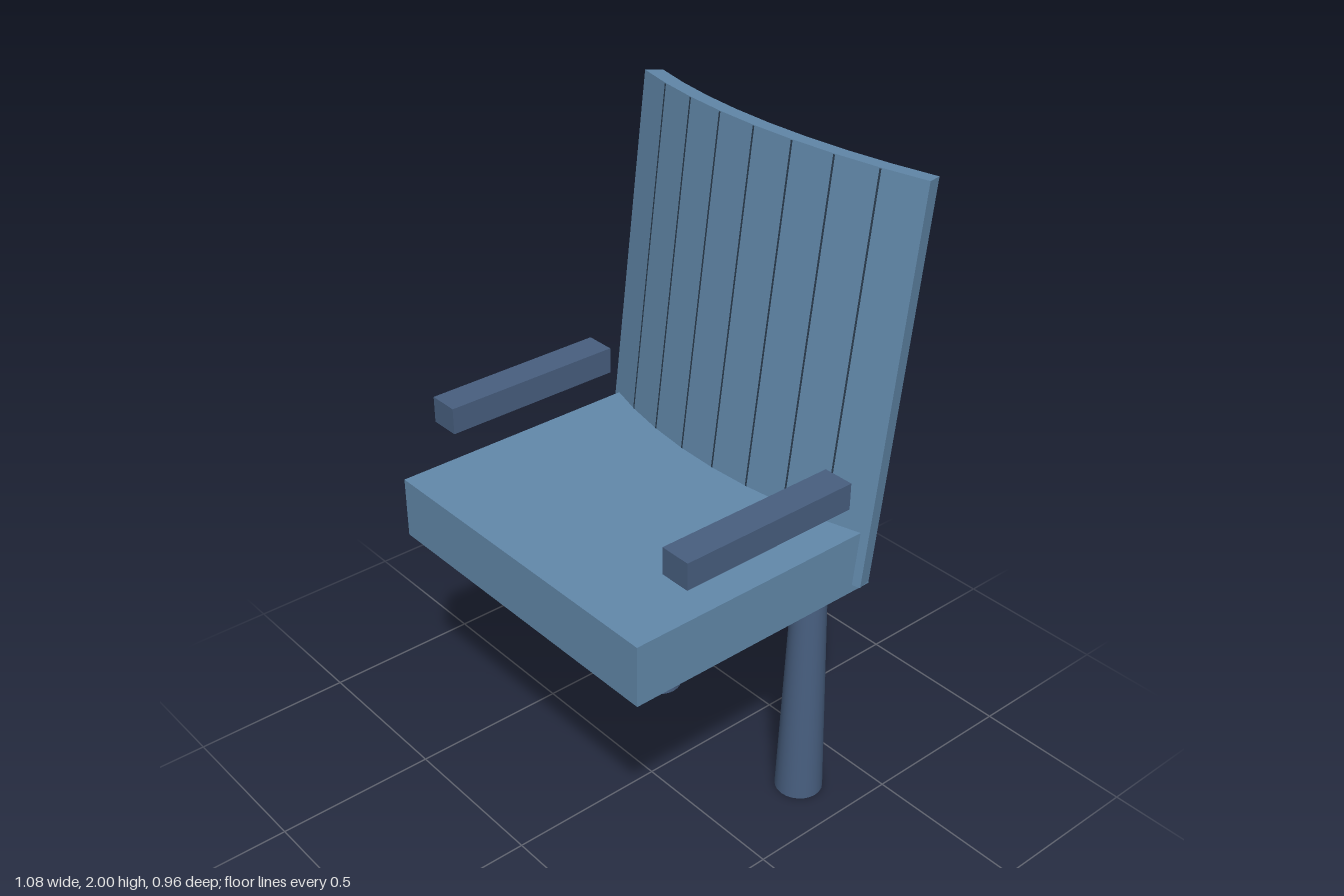
import * as THREE from 'three';

export function createModel() {
  const model = new THREE.Group();
  model.name = 'chair';

  const mat = (name, color) => {
    const m = new THREE.MeshStandardMaterial({ color });
    m.name = name;
    return m;
  };
  const blue = mat('upholstery blue', 0x6289ab);
  const navy = mat('frame navy', 0x485f80);
  const dark = mat('seam dark', 0x2a3b4d);
  const grey = mat('badge grey', 0xa0a0a0);

  const add = (parent, name, geometry, material, x, y, z) => {
    const mesh = new THREE.Mesh(geometry, material);
    mesh.name = name;
    mesh.position.set(x, y, z);
    parent.add(mesh);
    return mesh;
  };

  // Seat cushion
  add(model, 'seat', new THREE.BoxGeometry(1.02, 0.185, 0.83), blue, 0, 0.92, 0.065);

  // Armrests and tapered rear legs, one per side
  for (const [side, s] of [['left', 1], ['right', -1]]) {
    add(model, side + 'Armrest', new THREE.BoxGeometry(0.093, 0.08, 0.563), navy, s * 0.493, 1.177, 0.063);
    add(model, side + 'Leg', new THREE.CylinderGeometry(0.046, 0.073, 0.9, 24), navy, s * 0.328, 0.45, -0.31);
  }

  // Backrest, tilted about the middle of its top front edge
  const backrest = new THREE.Group();
  backrest.name = 'backrest';
  backrest.position.set(0, 2, -0.345);
  backrest.rotation.x = -0.122;
  model.add(backrest);

  // Curved panel of eight facets, bulging to the front
  const R = 1.73, thick = 0.055, height = 1.148, facets = 8;
  const step = THREE.MathUtils.degToRad(4.5);
  const arcPoint = (i, r) => {
    const a = (i - facets / 2) * step;
    return new THREE.Vector2(r * Math.sin(a), r * Math.cos(a) - R);
  };
  const outline = [];
  for (let i = 0; i <= facets; i++) outline.push(arcPoint(i, R));
  for (let i = facets; i >= 0; i--) outline.push(arcPoint(i, R - thick));
  const panel = new THREE.ExtrudeGeometry(new THREE.Shape(outline), { depth: height, bevelEnabled: false });
  panel.rotateX(Math.PI / 2);
  add(backrest, 'backPanel', panel, blue, 0, 0, 0);

  // Thin vertical seams between the facets
  for (let i = 1; i < facets; i++) {
    const p = arcPoint(i, R - 0.014);
    const seam = add(backrest, 'seam' + i, new THREE.BoxGeometry(0.005, height - 0.004, 0.03), dark, p.x, -height / 2, p.y);
    seam.rotation.y = (i - facets / 2) * step;
  }

  // Round badge set into the rear of the panel
  const badge = new THREE.CylinderGeometry(0.1, 0.1, 0.03, 24).rotateX(Math.PI / 2);
  add(backrest, 'rearBadge', badge, grey, 0.085, -0.4, -thick - 0.001);

  return model;
}
